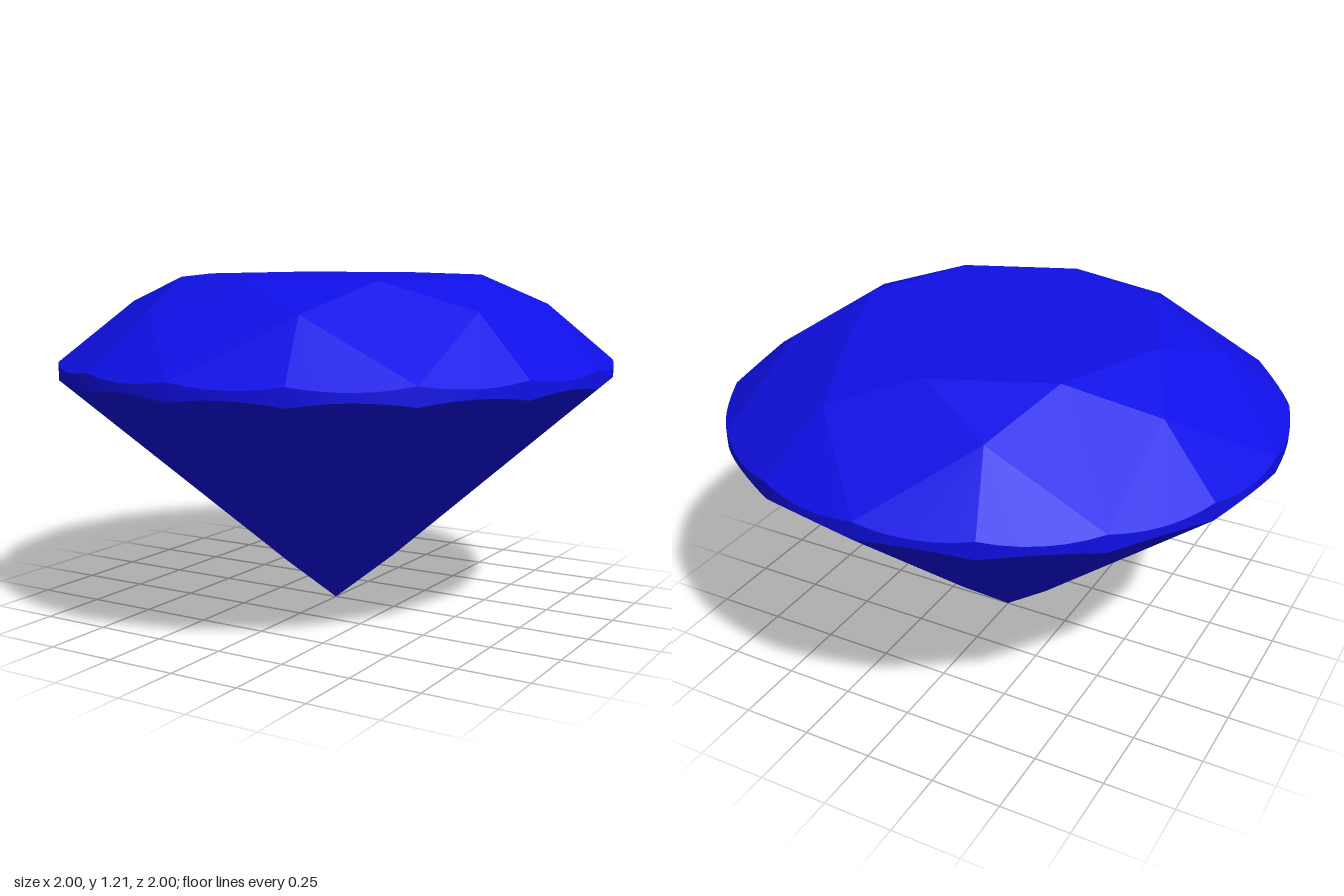
import * as THREE from 'three';

const STEP = Math.PI / 8;          // angle of one girdle facet
const ARC = 6;                     // girdle segments per facet
const TABLE_R = 0.563, TABLE_Y = 1.21;
const TOP_Y = 0.917, BOTTOM_Y = 0.853; // girdle edges at the facet corners
const STAR_R = 0.766, LOWER_R = 0.22;  // tips of the upper and lower girdle facets
const COS = Math.cos(STEP);

// Heights that keep each kite facet flat
const STAR_Y = TABLE_Y - (TABLE_Y - TOP_Y) * (STAR_R * COS - TABLE_R) / (1 - TABLE_R);
const LOWER_Y = BOTTOM_Y * LOWER_R * COS;

const polar = (r, a, y) => new THREE.Vector3(r * Math.sin(a), y, r * Math.cos(a));

// Height where a girdle facet's plane meets the round girdle (scalloped edge)
function scallop(k, t, edgeY, tipR, tipY) {
  const half = Math.cos(STEP / 2);
  const slope = (edgeY - tipY) / (half * (1 - tipR));
  return edgeY + slope * (Math.cos((t - 0.5) * STEP) - half);
}
const topY = t => scallop(0, t, TOP_Y, STAR_R, STAR_Y);
const bottomY = t => scallop(0, t, BOTTOM_Y, LOWER_R, LOWER_Y);

// Fans a convex polygon into triangles that face away from the stone's centre
function addFacet(out, pts) {
  const centre = new THREE.Vector3(0, 0.85, 0);
  for (let i = 1; i < pts.length - 1; i++) {
    const tri = [pts[0], pts[i], pts[i + 1]];
    const n = tri[1].clone().sub(tri[0]).cross(tri[2].clone().sub(tri[0]));
    if (n.dot(tri[0].clone().sub(centre)) < 0) tri.reverse();
    tri.forEach(p => out.push(p.x, p.y, p.z));
  }
}

function facetMesh(name, positions, material) {
  const geo = new THREE.BufferGeometry();
  geo.setAttribute('position', new THREE.Float32BufferAttribute(positions, 3));
  geo.computeVertexNormals();
  const mesh = new THREE.Mesh(geo, material);
  mesh.name = name;
  return mesh;
}

// Girdle facet: a tip joined to one scalloped arc of the girdle
function girdleFacet(out, k, tip, height) {
  const pts = [tip];
  for (let i = 0; i <= ARC; i++) pts.push(polar(1, (k + i / ARC) * STEP, height(i / ARC)));
  addFacet(out, pts);
}

export function createModel() {
  const group = new THREE.Group();
  group.name = 'brilliantCutGem';
  const material = new THREE.MeshStandardMaterial({ color: 0x0f0fe6 });
  const table = [], stars = [], crownKites = [], upper = [], pavilionKites = [], lower = [];
  const culet = new THREE.Vector3(0, 0, 0);
  const tableRing = [];

  for (let m = 0; m < 8; m++) {
    const a = m * 2 * STEP;
    const corner = polar(TABLE_R, a, TABLE_Y);
    const starL = polar(STAR_R, a - STEP, STAR_Y), starR = polar(STAR_R, a + STEP, STAR_Y);
    const lowL = polar(LOWER_R, a - STEP, LOWER_Y), lowR = polar(LOWER_R, a + STEP, LOWER_Y);
    tableRing.push(corner);
    // Crown: star triangle and kite, with a pair of upper girdle facets
    addFacet(stars, [corner, starR, polar(TABLE_R, a + 2 * STEP, TABLE_Y)]);
    addFacet(crownKites, [corner, starL, polar(1, a, TOP_Y), starR]);
    girdleFacet(upper, 2 * m, starR, topY);
    girdleFacet(upper, 2 * m - 1, starL, topY);
    // Pavilion: long kite to the point, with a pair of lower girdle facets
    addFacet(pavilionKites, [culet, lowL, polar(1, a, BOTTOM_Y), lowR]);
    girdleFacet(lower, 2 * m, lowR, bottomY);
    girdleFacet(lower, 2 * m - 1, lowL, bottomY);
  }
  addFacet(table, tableRing);

  group.add(
    facetMesh('table', table, material),
    facetMesh('starFacets', stars, material),
    facetMesh('crownKites', crownKites, material),
    facetMesh('upperGirdleFacets', upper, material),
    facetMesh('pavilionKites', pavilionKites, material),
    facetMesh('lowerGirdleFacets', lower, material)
  );

  // Girdle: smooth round band with scalloped edges
  const segments = 16 * ARC;
  const band = new THREE.CylinderGeometry(1, 1, 1, segments, 1, true);
  const pos = band.attributes.position;
  for (let i = 0; i < pos.count; i++) {
    const t = (i % (segments + 1)) % ARC / ARC;
    pos.setY(i, pos.getY(i) > 0 ? topY(t) : bottomY(t));
  }
  const girdle = new THREE.Mesh(band, material);
  girdle.name = 'girdle';
  group.add(girdle);
  return group;
}
